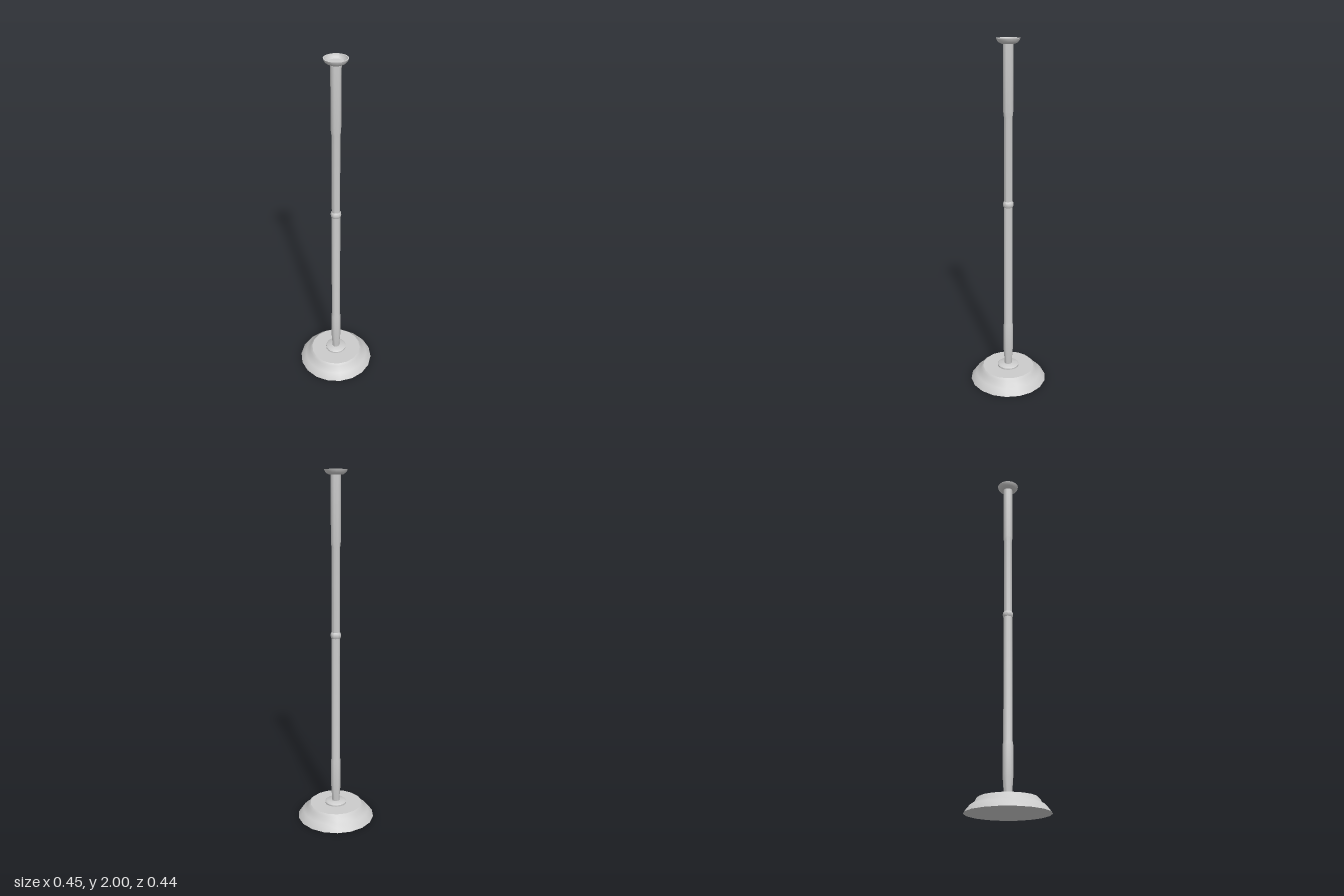
import * as THREE from 'three';
import { toCreasedNormals } from 'three/addons/utils/BufferGeometryUtils.js';

const material = new THREE.MeshStandardMaterial({ color: 0xcccccc });

// Turned part from [radius, height] points listed from bottom to top
function turned(name, profile, sides = 18, crease = 0.7) {
  const points = profile.map(([r, y]) => new THREE.Vector2(r, y));
  const geometry = new THREE.LatheGeometry(points, sides, Math.PI / 2);
  const mesh = new THREE.Mesh(toCreasedNormals(geometry, crease), material);
  mesh.name = name;
  return mesh;
}

export function createModel() {
  const model = new THREE.Group();
  model.name = 'stand';

  // Weighted foot with a stepped, rounded shoulder
  model.add(turned('base', [
    [0, 0], [0.225, 0], [0.212, 0.018], [0.194, 0.037], [0.172, 0.052],
    [0.165, 0.068], [0.152, 0.079], [0, 0.08],
  ]));

  // Collar where the pole meets the foot
  model.add(turned('baseCollar', [
    [0, 0.078], [0.063, 0.078], [0.063, 0.088], [0.054, 0.095], [0, 0.096],
  ]));

  // Lower pole, swelling slightly into a grip near the foot
  model.add(turned('lowerPole', [
    [0.022, 0.09], [0.023, 0.12], [0.028, 0.19], [0.028, 0.35],
    [0.025, 0.37], [0.025, 1.1],
  ]));

  // Joint ring between the two pole sections
  model.add(turned('jointRing', [
    [0.023, 1.085], [0.028, 1.094], [0.03, 1.105], [0.028, 1.117], [0.022, 1.125],
  ]));

  // Upper pole with a thicker sleeve at the top
  model.add(turned('upperPole', [
    [0.023, 1.1], [0.023, 1.59], [0.027, 1.62], [0.028, 1.98],
  ]));

  // Shallow open cup
  model.add(turned('topCup', [
    [0, 1.972], [0.038, 1.972], [0.051, 1.979], [0.06, 1.99], [0.063, 2],
    [0.057, 2], [0.053, 1.989], [0.044, 1.98], [0, 1.98],
  ]));

  return model;
}
